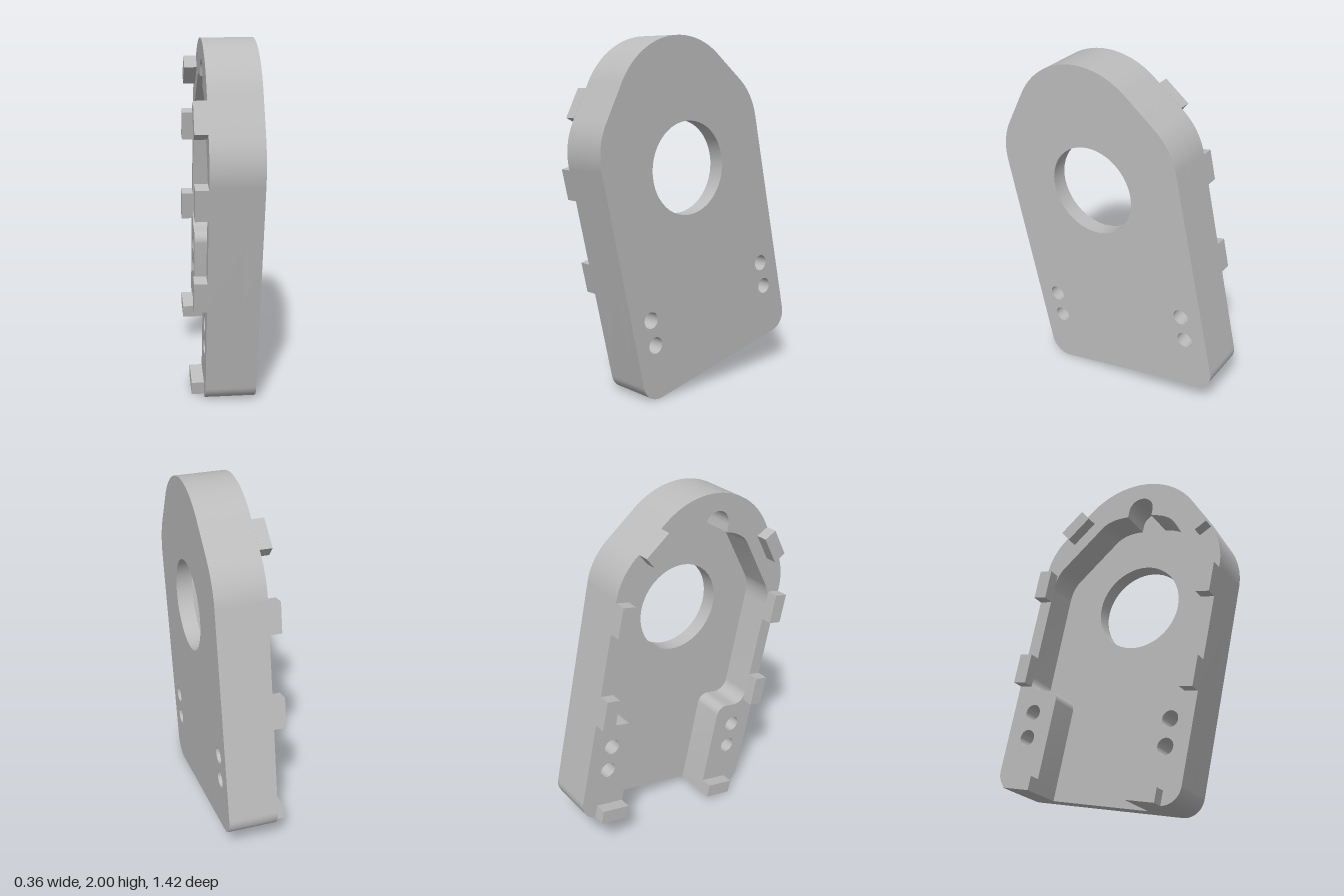
import * as THREE from 'three';
import { toCreasedNormals } from 'three/addons/utils/BufferGeometryUtils.js';

const FACE = 0.175, FLOOR = 0.08, RIM = -0.11, TAB = -0.18; // depth levels
const TILT = 0.22;

export function createModel() {
  const grey = new THREE.MeshStandardMaterial({ color: 0xbcbcbc });
  grey.name = 'grey';
  const model = new THREE.Group();
  model.name = 'coverHousing';

  // Upright cover, turned so its depth runs along x, then leaned over
  const cover = new THREE.Group();
  cover.name = 'cover';
  cover.rotation.set(0, Math.PI / 2, TILT);
  cover.position.set(0, 0.04, -0.178);
  model.add(cover);

  const slab = (name, shape, from, to) => {
    const geo = new THREE.ExtrudeGeometry(shape, { depth: to - from, bevelEnabled: false, curveSegments: 24 });
    geo.translate(0, 0, from);
    const mesh = new THREE.Mesh(toCreasedNormals(geo, 0.5), grey);
    mesh.name = name;
    cover.add(mesh);
    return mesh;
  };
  const addHole = (shape, x, y, r) => shape.holes.push(new THREE.Path().absarc(x, y, r, 0, Math.PI * 2, true));
  const addScrewHoles = (shape) => {
    for (const x of [-0.449, 0.449]) for (const y of [0.382, 0.533]) addHole(shape, x, y, 0.047);
  };

  // Outer outline: rounded foot corners, shoulders and domed top
  const T = 0.695, PI = Math.PI;
  const outline = new THREE.Path();
  outline.moveTo(0.31, 0.07);
  outline.lineTo(0.473, 0.07);
  outline.absarc(0.473, 0.18, 0.11, -PI / 2, 0);
  outline.absarc(0.212, 1.42, 0.371, 0, T);
  outline.absarc(0, 1.5425, 0.457, T, PI - T);
  outline.absarc(-0.212, 1.42, 0.371, PI - T, PI);
  outline.absarc(-0.473, 0.18, 0.11, PI, 1.5 * PI);
  outline.lineTo(-0.31, 0.07);
  const outer = outline.getPoints(20);

  // Front plate with the large round opening
  const plate = new THREE.Shape(outer);
  addHole(plate, 0, 1.271, 0.262);
  addScrewHoles(plate);
  slab('facePlate', plate, FLOOR, FACE);

  // One half of the cavity outline: screw pad, side wall, shoulder, top notch
  const half = new THREE.Path();
  half.moveTo(-0.31, 0.07);
  half.lineTo(-0.31, 0.61);
  half.absarc(-0.37, 0.61, 0.06, 0, PI / 2);
  half.lineTo(-0.426, 0.67);
  half.absarc(-0.426, 0.75, 0.08, -PI / 2, -PI, true);
  half.lineTo(-0.506, 1.32);
  half.quadraticCurveTo(-0.506, 1.4, -0.47, 1.45);
  half.lineTo(-0.25, 1.715);
  half.quadraticCurveTo(-0.2, 1.775, -0.08, 1.78);
  half.absarc(0, 1.82, 0.08, PI, PI / 2, true);
  const inner = half.getPoints(12);
  const mirrored = inner.map((p) => new THREE.Vector2(-p.x, p.y)).reverse();

  // Surrounding wall, open at the foot
  const wall = new THREE.Shape([...outer, ...inner.slice(1), ...mirrored.slice(1, -1)]);
  addScrewHoles(wall);
  slab('sideWall', wall, RIM, FLOOR);

  // Locating tabs standing on the rim, mirrored left and right
  const poly = (pts) => new THREE.Shape(pts.map(([x, y]) => new THREE.Vector2(x, y)));
  const block = (x0, y0, x1, y1) => [[x0, y0], [x1, y0], [x1, y1], [x0, y1]];
  const tabs = {
    footTab: block(0.31, 0.07, 0.482, 0.15),
    lowerTab: block(0.503, 0.692, 0.583, 0.868),
    middleTab: block(0.503, 1.236, 0.583, 1.41),
    shoulderTab: [[0.489, 1.67], [0.375, 1.806], [0.314, 1.755], [0.428, 1.619]],
  };
  for (const [name, pts] of Object.entries(tabs)) {
    for (const side of [1, -1]) slab(name, poly(pts.map(([x, y]) => [x * side, y])), TAB, RIM);
  }
  return model;
}
